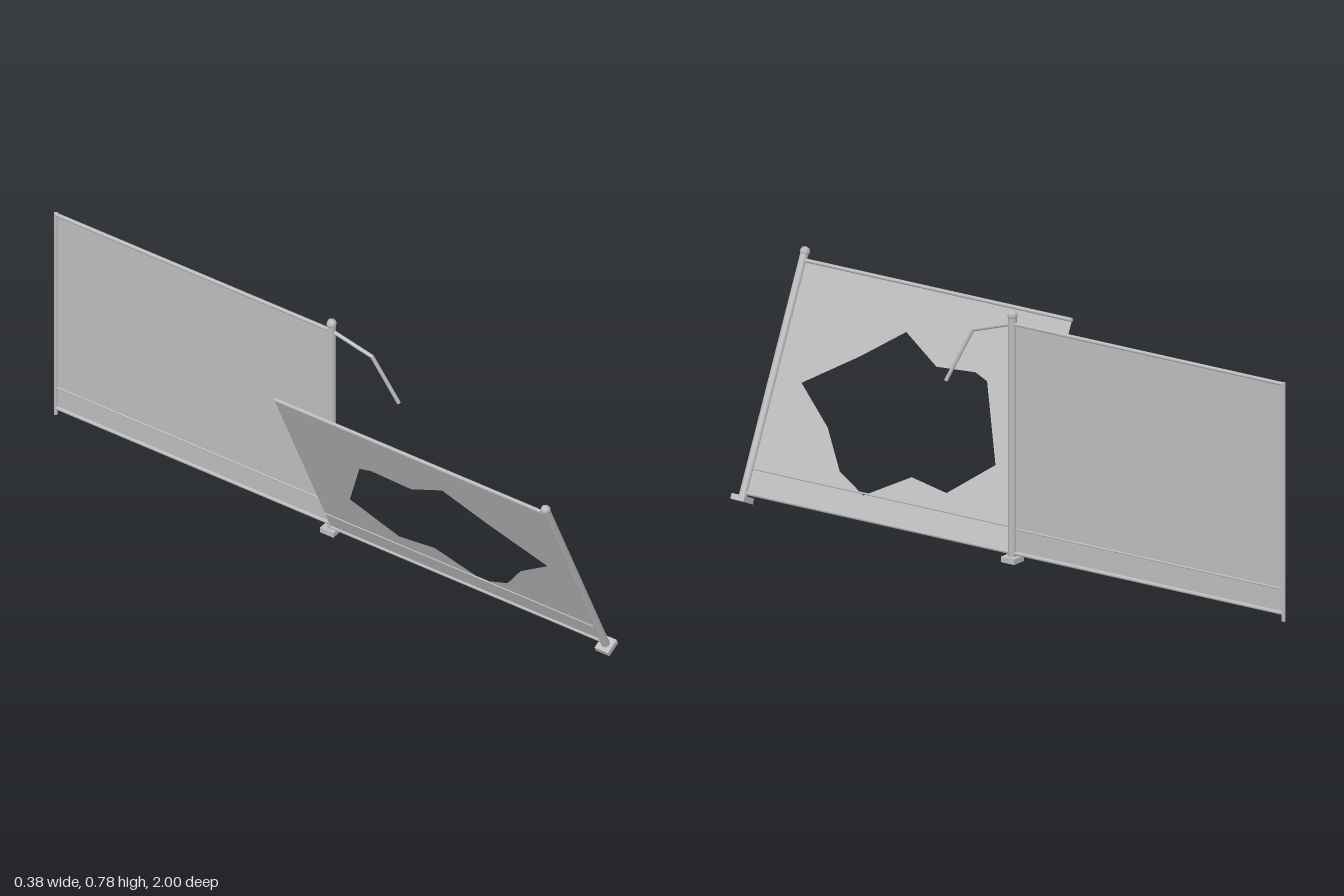
import * as THREE from 'three';

export function createModel() {
  const model = new THREE.Group();
  model.name = 'brokenFence';
  const metal = new THREE.MeshStandardMaterial({ color: 0xbcbcbc });
  metal.name = 'grey metal';
  metal.side = THREE.DoubleSide;

  const add = (parent, name, geometry, x = 0, y = 0, z = 0) => {
    const mesh = new THREE.Mesh(geometry, metal);
    mesh.name = name;
    mesh.position.set(x, y, z);
    parent.add(mesh);
    return mesh;
  };

  // Round bar between two points
  const bar = (parent, name, a, b, radius, sides = 8) => {
    const p = new THREE.Vector3(...a), q = new THREE.Vector3(...b);
    const dir = q.clone().sub(p);
    const mesh = add(parent, name, new THREE.CylinderGeometry(radius, radius, dir.length(), sides));
    mesh.position.copy(p).add(q).multiplyScalar(0.5);
    mesh.quaternion.setFromUnitVectors(new THREE.Vector3(0, 1, 0), dir.normalize());
  };

  // One fence section: sheet, rails, main post with foot and finial
  const section = (name, z0, z1, postZ, hole) => {
    const group = new THREE.Group();
    group.name = name;
    const shape = new THREE.Shape([[z0, 0.038], [z1, 0.038], [z1, 0.742], [z0, 0.742]]
      .map(p => new THREE.Vector2(...p)));
    if (hole) shape.holes.push(new THREE.Path(hole.map(p => new THREE.Vector2(...p))));
    add(group, 'panel', new THREE.ShapeGeometry(shape)).rotation.y = -Math.PI / 2;

    bar(group, 'topRail', [0, 0.742, z0], [0, 0.742, z1], 0.006);
    bar(group, 'middleRail', [0, 0.114, z0], [0, 0.114, z1], 0.003);
    bar(group, 'bottomRail', [0, 0.04, z0], [0, 0.04, z1], 0.006);

    bar(group, 'post', [0, 0.02, postZ], [0, 0.76, postZ], 0.0125, 12);
    add(group, 'finial', new THREE.SphereGeometry(0.016, 8, 4), 0, 0.767, postZ);
    add(group, 'foot', new THREE.BoxGeometry(0.05, 0.017, 0.048), 0, 0.0215, postZ);
    model.add(group);
    return group;
  };

  // Standing section with a slim end post
  const standing = section('standingSection', -0.994, -0.008, -0.008);
  standing.position.x = 0.135;
  bar(standing, 'endPost', [0, 0.016, -0.994], [0, 0.747, -0.994], 0.006);

  // Leaning section with a ragged hole
  const hole = [
    [0.873, 0.39], [0.696, 0.502], [0.557, 0.602], [0.423, 0.522],
    [0.284, 0.531], [0.236, 0.513], [0.134, 0.279], [0.278, 0.168],
    [0.412, 0.191], [0.562, 0.108], [0.664, 0.161], [0.744, 0.279],
  ];
  const leaning = section('leaningSection', -0.003, 0.976, 0.976, hole);
  leaning.position.x = 0.142;
  leaning.rotation.z = 0.425;

  // Snapped, bent piece of top rail hanging from the standing post
  const bend = [[0.135, 0.742, -0.008], [0.145, 0.7, 0.13], [0.181, 0.54, 0.2]];
  bar(model, 'brokenRailUpper', bend[0], bend[1], 0.006);
  bar(model, 'brokenRailLower', bend[1], bend[2], 0.006);
  add(model, 'brokenRailElbow', new THREE.SphereGeometry(0.006, 8, 6), ...bend[1]);

  return model;
}
